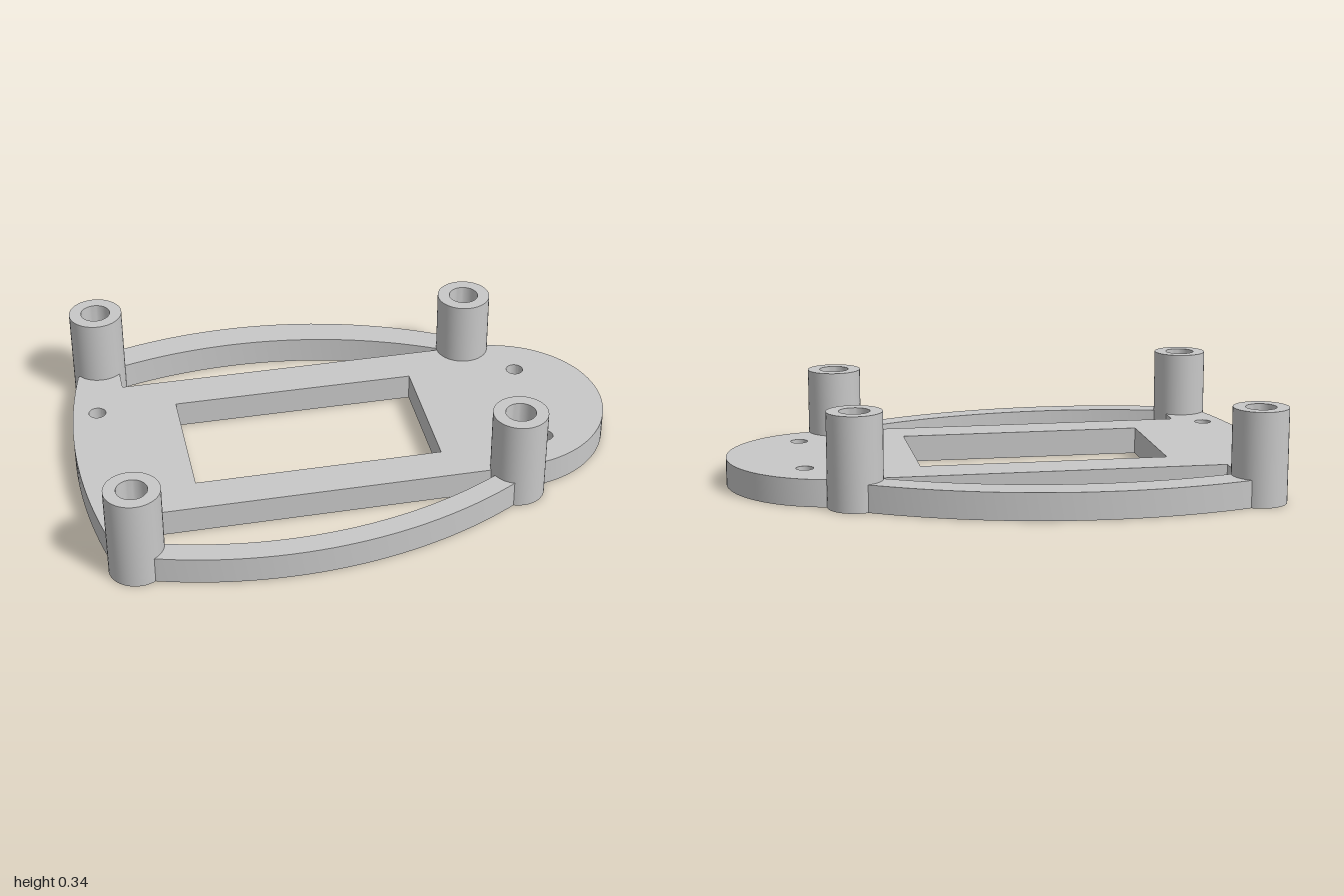
import * as THREE from 'three';
import { toCreasedNormals } from 'three/addons/utils/BufferGeometryUtils.js';

const THICKNESS = 0.1;
const POST_HEIGHT = 0.343;
const ARM_CENTRE = -0.31;

// Points along a shallow circular bow: crest z, radius r, side -1 (back) or 1 (front)
function bow(x0, x1, crest, r, side, steps = 28) {
  const pts = [];
  for (let i = 0; i <= steps; i++) {
    const x = x0 + (x1 - x0) * i / steps;
    const drop = r - Math.sqrt(r * r - (x - ARM_CENTRE) ** 2);
    pts.push(new THREE.Vector2(x, side * (crest - drop)));
  }
  return pts;
}

// Hole path, always wound opposite to the clockwise outline
function hole(pts) {
  return new THREE.Path(THREE.ShapeUtils.isClockWise(pts) ? pts.reverse() : pts);
}

// Flat plate drawn in x/z: rounded nose, bowed tail and two curved side arms
function plateGeometry() {
  const outline = [];
  for (let i = 0; i <= 20; i++) {
    const z = -0.5 + i / 20;
    outline.push(new THREE.Vector2(-1 + 2.1 - Math.sqrt(2.1 * 2.1 - z * z), z));
  }
  outline.push(new THREE.Vector2(-0.87, 0.6));
  outline.push(...bow(-0.83, 0.56, 0.725, 1.65, 1));
  for (let i = 0; i <= 40; i++) {
    const a = Math.PI / 2 - Math.PI * i / 40;
    outline.push(new THREE.Vector2(0.6 + 0.4 * Math.cos(a), 0.4 * Math.sin(a)));
  }
  outline.push(...bow(0.56, -0.83, 0.725, 1.65, -1));
  outline.push(new THREE.Vector2(-0.87, -0.6));
  const shape = new THREE.Shape(outline);

  // Central window
  const corners = [[-0.595, -0.247], [0.315, -0.247], [0.315, 0.257], [-0.595, 0.257]];
  shape.holes.push(hole(corners.map(([x, z]) => new THREE.Vector2(x, z))));

  // Slots between the body and the arms
  for (const [side, crest, r, edge] of [[-1, 0.607, 1.65, 0.402], [1, 0.64, 1.6, 0.403]]) {
    shape.holes.push(hole([
      new THREE.Vector2(-0.78, side * edge),
      ...bow(-0.78, 0.47, crest, r, side),
      new THREE.Vector2(0.475, side * edge),
    ]));
  }

  // Screw holes
  for (const [x, z] of [[-0.893, -0.25], [-0.888, 0.332], [0.727, -0.208], [0.716, 0.236]]) {
    shape.holes.push(new THREE.Path().absarc(x, z, 0.032, 0, Math.PI * 2, false));
  }

  const geo = new THREE.ExtrudeGeometry(shape, { depth: THICKNESS, bevelEnabled: false, curveSegments: 12 });
  geo.rotateX(Math.PI / 2);
  geo.translate(0, THICKNESS, 0);
  return toCreasedNormals(geo, 0.5);
}

// Round standoff with a blind bore from the top
function postGeometry() {
  const profile = [
    [0, 0], [0.1, 0], [0.1, POST_HEIGHT], [0.055, POST_HEIGHT], [0.055, THICKNESS], [0, THICKNESS],
  ].map(([r, y]) => new THREE.Vector2(r, y));
  return toCreasedNormals(new THREE.LatheGeometry(profile, 40), 0.5);
}

export function createModel() {
  const model = new THREE.Group();
  model.name = 'mountingPlate';
  const grey = new THREE.MeshStandardMaterial({ color: 0xc8c8c8 });
  grey.name = 'grey';

  const plate = new THREE.Mesh(plateGeometry(), grey);
  plate.name = 'basePlate';
  model.add(plate);

  const post = postGeometry();
  const posts = {
    backTailPost: [-0.85, -0.566],
    frontTailPost: [-0.85, 0.567],
    backNosePost: [0.565, -0.402],
    frontNosePost: [0.565, 0.404],
  };
  for (const [name, [x, z]] of Object.entries(posts)) {
    const mesh = new THREE.Mesh(post, grey);
    mesh.name = name;
    mesh.position.set(x, 0, z);
    model.add(mesh);
  }
  return model;
}
